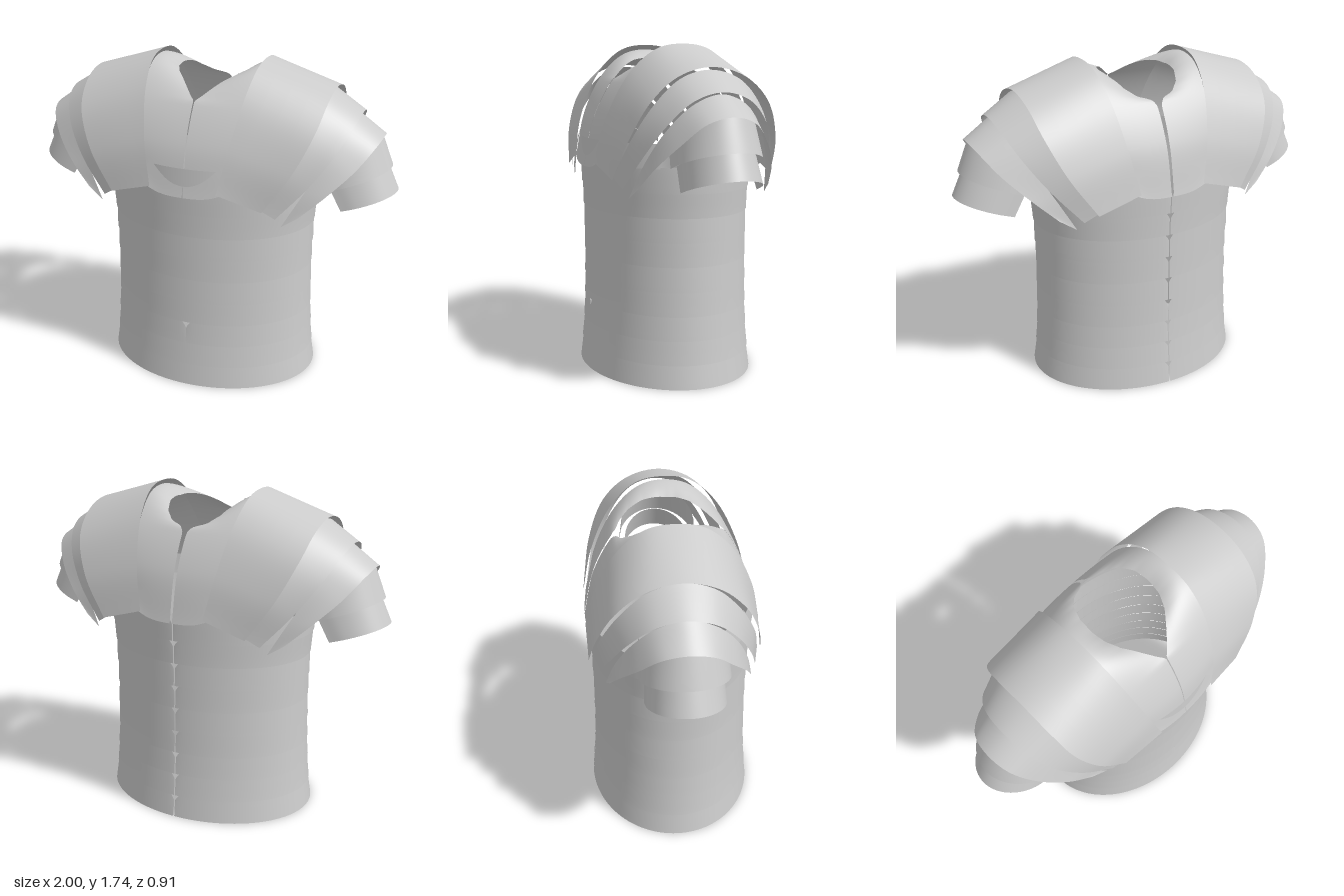
import * as THREE from 'three';

const material = new THREE.MeshStandardMaterial({ color: 0xcccccc, side: THREE.DoubleSide });

// Smooth sheet from point(u, v) -> [x, y, z]; side -1 mirrors it in x
function sheet(name, point, nu, nv, side) {
  const pos = [], index = [];
  for (let i = 0; i <= nu; i++) {
    for (let j = 0; j <= nv; j++) {
      const [x, y, z] = point(i / nu, j / nv);
      pos.push(x * side, y, z);
      if (i === nu || j === nv) continue;
      const a = i * (nv + 1) + j, b = a + nv + 1;
      if (side > 0) index.push(a, b, a + 1, b, b + 1, a + 1);
      else index.push(a, a + 1, b, b, a + 1, b + 1);
    }
  }
  const geo = new THREE.BufferGeometry();
  geo.setAttribute('position', new THREE.Float32BufferAttribute(pos, 3));
  geo.setIndex(index);
  geo.computeVertexNormals();
  const mesh = new THREE.Mesh(geo, material);
  mesh.name = name;
  return mesh;
}

// Linear lookup in rows of [key, value, ...]
function lookup(rows, key, col = 1) {
  let i = 1;
  while (i < rows.length - 1 && key > rows[i][0]) i++;
  const a = rows[i - 1], b = rows[i];
  const t = THREE.MathUtils.clamp((key - a[0]) / (b[0] - a[0]), 0, 1);
  return a[col] + (b[col] - a[col]) * t;
}

// Arch from front hem over the crown to the back hem, given its front half
function arch(half, backDepth = 1) {
  const back = half.slice(0, -1).reverse().map(([x, y, z]) => [x, y, -z * backDepth]);
  return new THREE.CatmullRomCurve3([...half, ...back].map(p => new THREE.Vector3(...p)));
}

// Half-elliptical arch for the arm bands: crown [x, y], hem [x, y], half depth
function armArch(crown, hem, depth) {
  const half = [];
  for (let i = 0; i <= 5; i++) {
    const a = i / 5 * Math.PI / 2, s = Math.sin(a);
    half.push([hem[0] + (crown[0] - hem[0]) * s, hem[1] + (crown[1] - hem[1]) * s, i === 5 ? 0 : depth * Math.cos(a)]);
  }
  return arch(half);
}

// Ruled plate between two arches
function plate(name, inner, outer, side) {
  return sheet(name, (u, v) => inner.getPoint(u).lerp(outer.getPoint(u), v).toArray(), 56, 4, side);
}

// Torso outline: [height, half width, half depth]
const torso = [
  [0, 0.583, 0.447], [0.13, 0.568, 0.436], [0.255, 0.56, 0.427], [0.38, 0.554, 0.422], [0.635, 0.55, 0.419],
  [0.885, 0.557, 0.423], [1.01, 0.573, 0.43], [1.13, 0.583, 0.438], [1.25, 0.575, 0.435],
];
const seams = [0, 0.13, 0.255, 0.38, 0.505, 0.635, 0.76, 0.885, 1.01, 1.135];

// Half of a girth band, with its upper corners cut away at the seams
function girthBand(y0, y1, frontNotch, side, sweep = Math.PI) {
  return sheet('girthBand', (u, v) => {
    const a = sweep * (u - 0.9 * Math.sin(2 * Math.PI * u) / (2 * Math.PI));
    const low = Math.max(0, y0 - 0.008);
    const x = Math.sin(a), z = Math.cos(a);
    const notch = z < 0 || frontNotch ? 0.045 * Math.max(0, 1 - x * 0.57 / 0.045) ** 2 : 0;
    const y = low + (y1 - notch - low) * v;
    const flare = 0.005 * (1 - v);
    const gap = z < 0 ? 0.003 : 0;
    return [Math.max(gap, x * (lookup(torso, y) + flare)), y, z * (lookup(torso, y, 2) + flare)];
  }, 72, 4, side);
}

// Collar plate: arch profile over the shoulder and inner edge around the neck, [z, x]
const collarArch = arch([[0, 1.1, 0.453], [0, 1.36, 0.393], [0, 1.57, 0.275], [0, 1.685, 0.14], [0, 1.715, 0]]);
const neckEdge = [
  [-0.46, 0.006], [-0.3, 0.012], [-0.27, 0.04], [-0.25, 0.1], [-0.2, 0.15], [-0.12, 0.182], [-0.03, 0.19],
  [0.05, 0.178], [0.12, 0.145], [0.2, 0.08], [0.25, 0.035], [0.28, 0.003], [0.46, 0.002],
];
function collarPlate(side) {
  return sheet('collarPlate', (u, v) => {
    const p = collarArch.getPoint(u);
    const inner = lookup(neckEdge, p.z);
    const outer = 0.21 + (p.y - 1.1) * 0.15;
    const crown = Math.max(0, 1 - Math.abs(p.z) / 0.28);
    const hem = Math.max(0, 1 - (p.y - 1.1) / 0.15);
    const y = p.y - 0.05 * Math.sqrt(crown) * (1 - v) ** 2 + 0.04 * hem * v ** 3;
    return [inner + (outer - inner) * v, y, p.z * (1 - 0.035 * v * v)];
  }, 96, 8, side);
}

// Shoulder plates, each as inner and outer edge from hem to crown
const shoulder = [
  ['upperShoulderPlate',
    arch([[0.18, 1.14, 0.452], [0.225, 1.36, 0.4], [0.265, 1.59, 0.285], [0.284, 1.713, 0.145], [0.287, 1.74, 0]]),
    arch([[0.41, 1.07, 0.425], [0.545, 1.27, 0.385], [0.63, 1.46, 0.3], [0.655, 1.58, 0.17], [0.66, 1.625, 0]], 1.05)],
  ['middleShoulderPlate',
    arch([[0.39, 1.08, 0.412], [0.52, 1.27, 0.365], [0.6, 1.45, 0.27], [0.63, 1.57, 0.15], [0.635, 1.612, 0]], 1.04),
    arch([[0.47, 1.03, 0.39], [0.62, 1.2, 0.335], [0.73, 1.36, 0.25], [0.785, 1.47, 0.14], [0.8, 1.51, 0]], 1.03)],
  ['lowerShoulderPlate',
    arch([[0.495, 0.985, 0.368], [0.6, 1.17, 0.32], [0.7, 1.34, 0.238], [0.76, 1.455, 0.13], [0.775, 1.5, 0]]),
    arch([[0.58, 1.04, 0.35], [0.7, 1.15, 0.305], [0.82, 1.27, 0.22], [0.895, 1.37, 0.118], [0.915, 1.4, 0]])],
  ['upperArmBand', armArch([0.9, 1.4], [0.62, 1.32], 0.21), armArch([0.962, 1.24], [0.695, 1.15], 0.225)],
  ['lowerArmBand', armArch([0.943, 1.245], [0.685, 1.16], 0.19), armArch([1, 1.117], [0.755, 1.04], 0.198)],
];

export function createModel() {
  const model = new THREE.Group();
  model.name = 'segmentedCuirass';
  for (const side of [1, -1]) {
    const half = new THREE.Group();
    half.name = side > 0 ? 'leftHalf' : 'rightHalf';
    for (let i = 0; i < seams.length - 1; i++) half.add(girthBand(seams[i], seams[i + 1], i === 2, side));
    // Short breast band across the front only
    const breast = girthBand(1.135, 1.25, false, side, 1.08);
    breast.name = 'breastBand';
    half.add(breast, collarPlate(side));
    for (const [name, inner, outer] of shoulder) half.add(plate(name, inner, outer, side));
    model.add(half);
  }
  return model;
}
